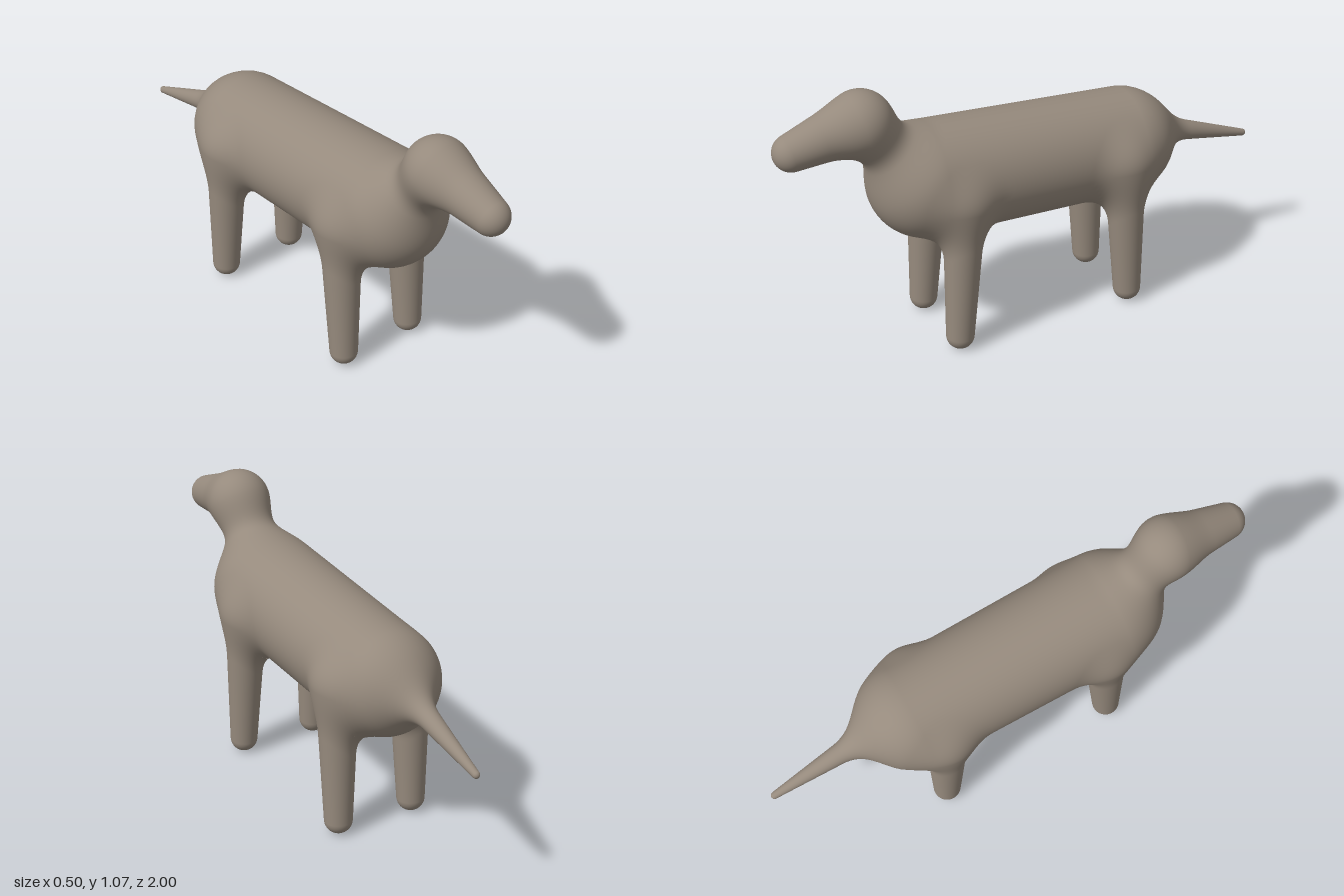
import * as THREE from 'three';

const BLEND = 0.1;
const V = (x, y, z) => new THREE.Vector3(x, y, z);

// Each limb is a rounded cone between two joints: a (radius ra) to b (radius rb)
function limb(name, a, ra, b, rb) {
  const h = a.distanceTo(b);
  const axis = b.clone().sub(a).normalize();
  const s = (ra - rb) / h;
  return { name, a, ra, b, rb, h, axis, s, c: Math.sqrt(1 - s * s) };
}

const limbs = [
  limb('body', V(0, 0.66, 0.425), 0.219, V(0, 0.615, -0.41), 0.208),
  limb('neck', V(0, 0.69, 0.46), 0.09, V(0, 0.93, 0.66), 0.085),
  limb('head', V(0, 0.95, 0.67), 0.108, V(0, 0.89, 0.931), 0.069),
  limb('tail', V(0, 0.645, -0.5), 0.058, V(0, 0.507, -0.986), 0.014),
];
for (const [side, sx] of [['left', 1], ['right', -1]]) {
  for (const [end, sz, footZ] of [['Front', 1, 0.37], ['Back', -1, 0.36]]) {
    limbs.push(limb(side + end + 'Leg',
      V(sx * 0.155, 0.6, sz * 0.34), 0.08, V(sx * 0.16, 0.054, sz * footZ), 0.054));
  }
}

// Signed distance to one limb
function limbDistance(p, l) {
  const d = p.clone().sub(l.a);
  const y = d.dot(l.axis);
  const x = Math.sqrt(Math.max(0, d.lengthSq() - y * y));
  const k = -l.s * x + l.c * y;
  if (k < 0) return Math.hypot(x, y) - l.ra;
  if (k > l.c * l.h) return Math.hypot(x, y - l.h) - l.rb;
  return l.c * x + l.s * y - l.ra;
}

// Signed distance to all limbs, melted together with soft fillets
function skinDistance(p) {
  let d = Infinity;
  for (const l of limbs) {
    const e = limbDistance(p, l);
    const t = Math.max(0, BLEND - Math.abs(d - e));
    d = Math.min(d, e) - (t * t) / (4 * BLEND);
  }
  return d;
}

function skinNormal(p) {
  const e = 0.001;
  const slope = (dx, dy, dz) =>
    skinDistance(V(p.x + dx, p.y + dy, p.z + dz)) - skinDistance(V(p.x - dx, p.y - dy, p.z - dz));
  return V(slope(e, 0, 0), slope(0, e, 0), slope(0, 0, e)).normalize();
}

// Turned shape of a limb, its vertices pushed out onto the common skin
function limbGeometry(l) {
  const profile = [];
  const tilt = Math.asin(l.s);
  const arc = (r, y, from, to, n) => {
    for (let i = 0; i <= n; i++) {
      const t = from + ((to - from) * i) / n;
      profile.push(new THREE.Vector2(Math.max(0, r * Math.cos(t)), y + r * Math.sin(t)));
    }
  };
  arc(l.ra, 0, -Math.PI / 2, tilt, 16);
  const start = profile[profile.length - 1];
  const stop = new THREE.Vector2(l.rb * l.c, l.h + l.rb * l.s);
  const steps = Math.ceil(l.h / 0.016);
  for (let i = 1; i < steps; i++) profile.push(start.clone().lerp(stop, i / steps));
  arc(l.rb, l.h, tilt, Math.PI / 2, 12);

  const geo = new THREE.LatheGeometry(profile, 56);
  geo.applyQuaternion(new THREE.Quaternion().setFromUnitVectors(V(0, 1, 0), l.axis));
  geo.translate(l.a.x, l.a.y, l.a.z);

  const pos = geo.attributes.position;
  const nor = geo.attributes.normal;
  const p = V(0, 0, 0);
  for (let i = 0; i < pos.count; i++) {
    p.fromBufferAttribute(pos, i);
    // vertices buried deep in a neighbour stay hidden
    if (skinDistance(p) > -0.045) {
      for (let k = 0; k < 4; k++) p.addScaledVector(skinNormal(p), -skinDistance(p));
      pos.setXYZ(i, p.x, p.y, p.z);
    }
    const n = skinNormal(p);
    nor.setXYZ(i, n.x, n.y, n.z);
  }
  return geo;
}

export function createModel() {
  const group = new THREE.Group();
  group.name = 'dog';
  const clay = new THREE.MeshStandardMaterial({ color: 0x968a7d });
  clay.name = 'warm grey clay';
  for (const l of limbs) {
    const mesh = new THREE.Mesh(limbGeometry(l), clay);
    mesh.name = l.name;
    group.add(mesh);
  }
  return group;
}
